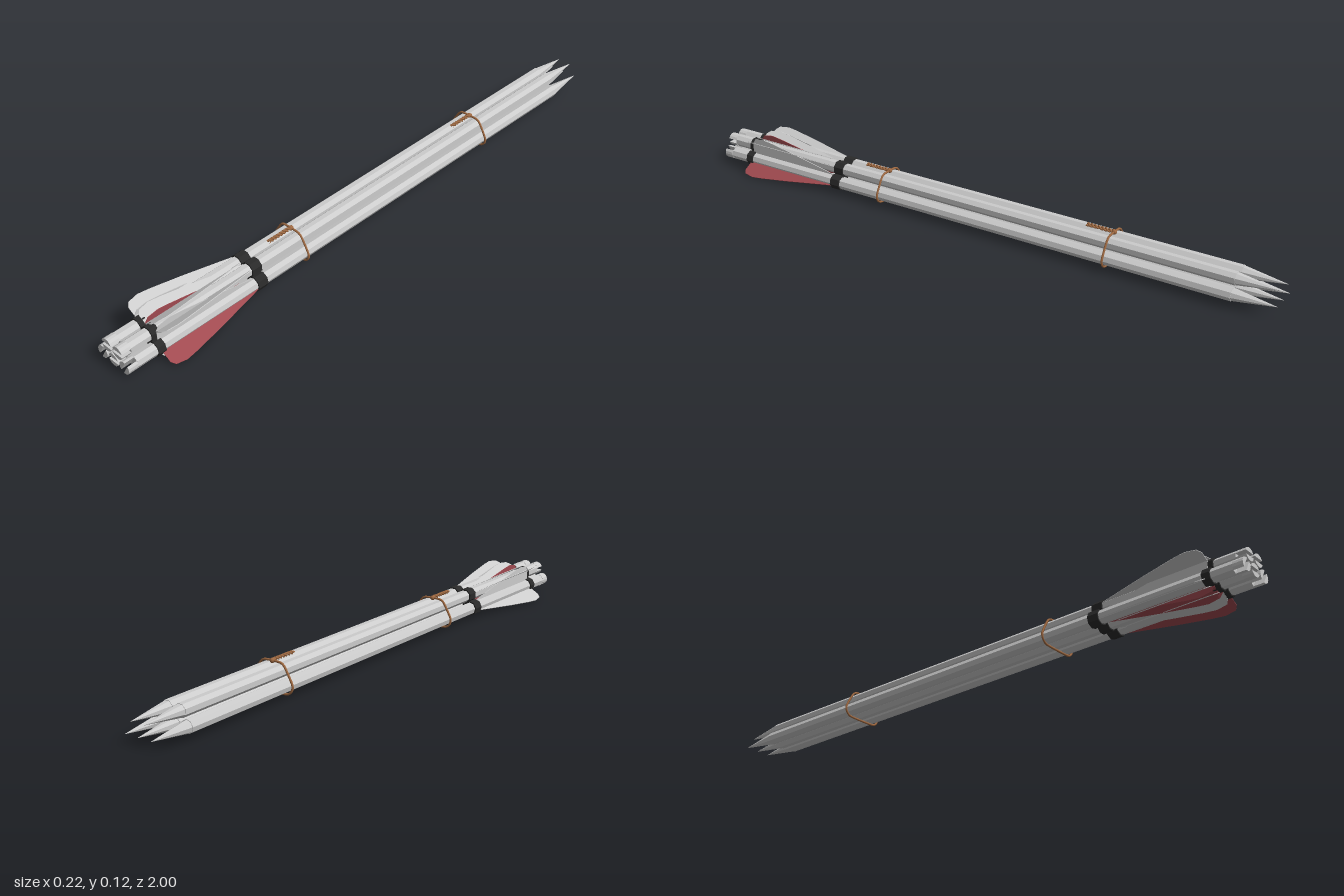
import * as THREE from 'three';

const grey = new THREE.MeshStandardMaterial({ color: 0xcccccc, flatShading: true });
const finGrey = new THREE.MeshStandardMaterial({ color: 0xcccccc, side: THREE.DoubleSide });
const finRed = new THREE.MeshStandardMaterial({ color: 0xa04a50, side: THREE.DoubleSide });
const black = new THREE.MeshStandardMaterial({ color: 0x2a2a2a, flatShading: true });
const ropeMat = new THREE.MeshStandardMaterial({ color: 0xa06a42 });

const R = 0.0205; // shaft radius

function add(parent, name, geometry, material) {
  const mesh = new THREE.Mesh(geometry, material);
  mesh.name = name;
  parent.add(mesh);
  return mesh;
}

// Eight-sided rod along z between two depths
function rod(r0, r1, z0, z1) {
  return new THREE.CylinderGeometry(r1, r0, z1 - z0, 8)
    .rotateY(Math.PI / 8).rotateX(Math.PI / 2).translate(0, 0, (z0 + z1) / 2);
}

// Thin vane standing up in +y, widening towards the rear
function vaneGeometry() {
  const pts = [[0.52, 0.018], [0.56, 0.026], [0.7, 0.053], [0.8, 0.07], [0.84, 0.075], [0.875, 0.069], [0.885, 0.055], [0.885, 0.018]];
  const shape = new THREE.Shape(pts.map(([z, y]) => new THREE.Vector2(z, y)));
  return new THREE.ExtrudeGeometry(shape, { depth: 0.002, bevelEnabled: false })
    .translate(0, 0, -0.001).rotateY(-Math.PI / 2);
}

// One prong of the nock: the part of the rod's section above the slot
function prongGeometry() {
  const gap = 0.006, a = Math.asin(gap / R), pts = [];
  for (let i = 0; i <= 6; i++) {
    const t = a + (Math.PI - 2 * a) * i / 6;
    pts.push(new THREE.Vector2(R * Math.cos(t), R * Math.sin(t)));
  }
  return new THREE.ExtrudeGeometry(new THREE.Shape(pts), { depth: 0.032, bevelEnabled: false }).translate(0, 0, 0.968);
}

function arrow(x, y, roll) {
  const g = new THREE.Group();
  g.name = 'arrow';
  add(g, 'shaft', rod(R, R, -0.87, 0.968), grey);
  add(g, 'tip', rod(0.0005, R * 0.93, -1, -0.87), grey);
  add(g, 'frontBinding', rod(0.025, 0.025, 0.5, 0.535), black);
  add(g, 'rearBinding', rod(0.025, 0.025, 0.875, 0.9), black);
  for (let i = 0; i < 3; i++) {
    add(g, i ? 'vane' : 'indexVane', vaneGeometry(), i ? finGrey : finRed).rotation.z = i * Math.PI * 2 / 3;
  }
  for (let i = 0; i < 2; i++) add(g, 'nockProng', prongGeometry(), grey).rotation.z = i * Math.PI;
  g.position.set(x, y, 0);
  g.rotation.z = roll;
  return g;
}

// Rope drawn round the bundle, with a twisted knot tail on top
function tie(z) {
  const g = new THREE.Group();
  g.name = 'ropeTie';
  const pts = [];
  const corners = [[0.046, 0.04, -90, 30], [0.023, 0.08, 30, 90], [-0.023, 0.08, 90, 150], [-0.046, 0.04, 150, 270]];
  for (const [cx, cy, a0, a1] of corners) {
    const n = Math.round((a1 - a0) / 20);
    for (let i = 0; i <= n; i++) {
      const t = THREE.MathUtils.degToRad(a0 + (a1 - a0) * i / n);
      pts.push(new THREE.Vector3(cx + 0.0255 * Math.cos(t), cy + 0.0255 * Math.sin(t), 0));
    }
  }
  const loop = new THREE.CatmullRomCurve3(pts, true);
  add(g, 'ropeLoop', new THREE.TubeGeometry(loop, 96, 0.0035, 6, true), ropeMat);
  for (let s = 0; s < 2; s++) {
    const strand = [];
    for (let i = 0; i <= 32; i++) {
      const t = s * Math.PI + i / 32 * Math.PI * 8;
      strand.push(new THREE.Vector3(0.004 * Math.cos(t), 0.1075 + 0.003 * Math.sin(t), -0.004 + i / 32 * 0.095));
    }
    add(g, 'knotStrand', new THREE.TubeGeometry(new THREE.CatmullRomCurve3(strand), 80, 0.0033, 6), ropeMat);
  }
  add(g, 'knot', new THREE.SphereGeometry(0.008, 10, 8), ropeMat).position.set(0, 0.106, 0);
  g.position.z = z;
  return g;
}

export function createModel() {
  const model = new THREE.Group();
  model.name = 'arrowBundle';
  const third = Math.PI * 2 / 3;
  // Three arrows below, two above
  for (const [x, y, roll] of [
    [-0.046, 0.04, -third], [0, 0.04, 0], [0.046, 0.04, -third],
    [-0.023, 0.079, Math.PI], [0.023, 0.079, Math.PI],
  ]) model.add(arrow(x, y, roll));
  model.add(tie(0.34), tie(-0.475));
  return model;
}
